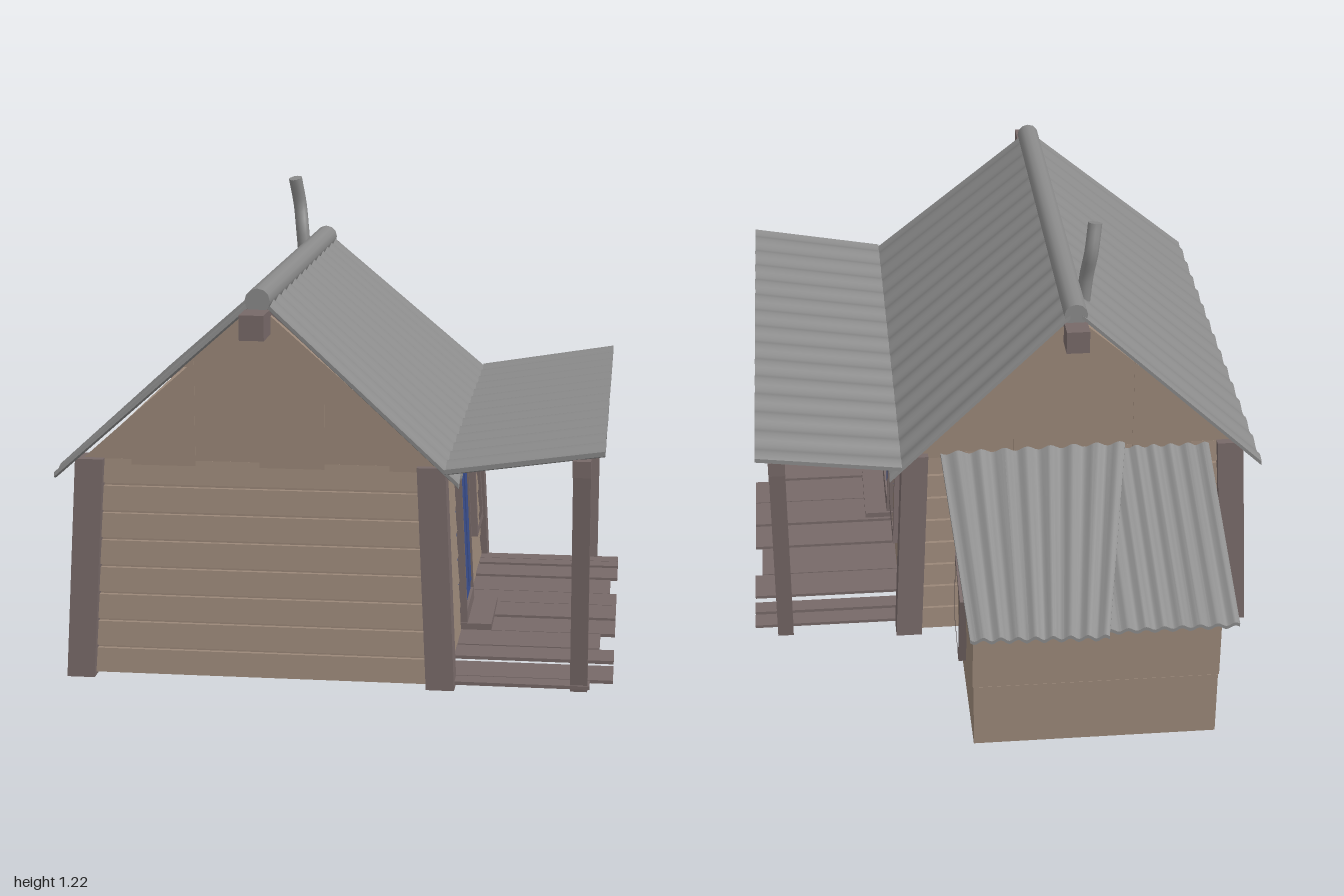
import * as THREE from 'three';
import { toCreasedNormals } from 'three/addons/utils/BufferGeometryUtils.js';

const mat = (color, side = THREE.FrontSide) => new THREE.MeshStandardMaterial({ color, side });
const WALL = mat(0x9a8778, THREE.DoubleSide), TIMBER = mat(0x776968), TIN = mat(0x8a8a8a, THREE.DoubleSide);
const BLUE = mat(0x3a4f8e), GLASS = mat(0xcccccc);

function add(parent, name, geometry, material) {
  const mesh = new THREE.Mesh(geometry, material);
  mesh.name = name;
  parent.add(mesh);
  return mesh;
}

// Box given by its minimum and maximum corners
function block(parent, name, [x0, y0, z0], [x1, y1, z1], material) {
  const g = new THREE.BoxGeometry(x1 - x0, y1 - y0, z1 - z0);
  g.translate((x0 + x1) / 2, (y0 + y1) / 2, (z0 + z1) / 2);
  return add(parent, name, g, material);
}

// Leaning square post, with level ends
function post(parent, name, [bx, bz], [tx, tz], h, sx, sz) {
  const g = new THREE.BoxGeometry(sx, h, sz).translate(0, h / 2, 0);
  const p = g.attributes.position;
  for (let i = 0; i < p.count; i++) {
    const t = p.getY(i) / h;
    p.setX(i, p.getX(i) + bx + (tx - bx) * t);
    p.setZ(i, p.getZ(i) + bz + (tz - bz) * t);
  }
  g.computeVertexNormals();
  return add(parent, name, g, TIMBER);
}

const shapeOf = pts => new THREE.Shape(pts.map(([x, y]) => new THREE.Vector2(x, y)));
const extrude = (shape, depth) => new THREE.ExtrudeGeometry(shape, { depth, bevelEnabled: false });
// Outline in (z, y), extruded towards +x
const sideways = (pts, depth, hole) => {
  const shape = shapeOf(pts.map(([z, y]) => [-z, y]));
  if (hole) shape.holes.push(shapeOf(hole.map(([z, y]) => [-z, y])));
  return extrude(shape, depth).rotateY(Math.PI / 2);
};

// Corrugated sheet: upper edge a-b, lower edge c-d, waves running from a to b
function sheet(parent, name, [a, b, c, d], waves, amp, thick = 0.012) {
  const [A, B, C, D] = [a, b, c, d].map(v => new THREE.Vector3(...v));
  const n = waves * 8, pos = [], idx = [];
  for (let i = 0; i <= n; i++) {
    const t = i / n, w = amp * Math.sin(t * waves * Math.PI * 2);
    const u = A.clone().lerp(B, t), l = C.clone().lerp(D, t);
    pos.push(u.x, u.y + w, u.z, l.x, l.y + w, l.z);
    pos.push(l.x, l.y + w - thick, l.z, u.x, u.y + w - thick, u.z);
    if (i === n) break;
    for (let k = 0; k < 4; k++) {
      const p = i * 4 + k, q = i * 4 + (k + 1) % 4;
      idx.push(p, q, p + 4, q, q + 4, p + 4);
    }
  }
  const e = n * 4;
  idx.push(0, 2, 1, 0, 3, 2, e, e + 1, e + 2, e, e + 2, e + 3);
  const g = new THREE.BufferGeometry();
  g.setAttribute('position', new THREE.Float32BufferAttribute(pos, 3));
  g.setIndex(idx);
  return add(parent, name, toCreasedNormals(g, 0.7), TIN);
}

// Crooked four-pane window facing +x; corners in (z, y)
function crookedWindow(parent, name, corners) {
  const g = new THREE.Group();
  g.name = name;
  const cz = corners.reduce((s, p) => s + p[0], 0) / 4, cy = corners.reduce((s, p) => s + p[1], 0) / 4;
  const inner = corners.map(([z, y]) => [cz + (z - cz) * 0.77, cy + (y - cy) * 0.85]);
  add(g, 'windowFrame', sideways(corners, 0.024, inner), TIMBER);
  add(g, 'windowGlass', sideways(inner, 0.008), GLASS);
  const mid = (i, j) => [(inner[i][0] + inner[j][0]) / 2, (inner[i][1] + inner[j][1]) / 2];
  for (const [p, q] of [[mid(0, 1), mid(2, 3)], [mid(1, 2), mid(3, 0)]]) {
    const dz = q[0] - p[0], dy = q[1] - p[1];
    const bar = add(g, 'windowBar', new THREE.BoxGeometry(0.016, Math.hypot(dz, dy), 0.012), TIMBER);
    bar.position.set(0.008, (p[1] + q[1]) / 2, (p[0] + q[0]) / 2);
    bar.rotation.x = Math.atan2(dz, dy);
  }
  parent.add(g);
  return g;
}

export function createModel() {
  const model = new THREE.Group();
  model.name = 'cabin';

  // House body, built around its own centre
  const house = new THREE.Group();
  house.name = 'house';
  house.position.set(-0.205, 0, 0.25);
  model.add(house);
  const HX = 0.515, HZ = 0.675, LEAN = 0.05, ROWS = 8, PITCH = 0.073;

  // Lapped board walls, leaning inwards
  for (let k = 0; k < 4; k++) {
    const half = k % 2 ? HZ : HX, length = 2 * ((k % 2 ? HX : HZ) - 0.06);
    const pts = [[half - 0.06, 0.01]];
    for (let i = 0; i < ROWS; i++) {
      const y0 = 0.01 + i * PITCH, y1 = y0 + PITCH;
      pts.push([half - 0.018 - LEAN * y0, y0], [half - 0.022 - LEAN * y1, y1 - 0.009]);
      pts.push([half - 0.034 - LEAN * y1, y1 - 0.009], [half - 0.034 - LEAN * y1, y1]);
    }
    pts.push([half - 0.09, 0.01 + ROWS * PITCH]);
    const g = extrude(shapeOf(pts), length).translate(0, 0, -length / 2);
    add(house, 'boardWall', g, WALL).rotation.y = -k * Math.PI / 2;
  }

  // Corner posts
  for (const sx of [-1, 1]) for (const sz of [-1, 1]) {
    post(house, 'cornerPost', [sx * (HX - 0.037), sz * (HZ - 0.037)],
      [sx * (HX - 0.066), sz * (HZ - 0.066)], 0.587, 0.074, 0.074);
  }

  // Gables of upright boards
  const W = 0.475, top = x => 1.0 - Math.abs(x) * 0.885;
  const cuts = [-W, -0.34, -0.17, 0, 0.17, 0.34, W];
  for (const sz of [-1, 1]) for (let i = 0; i < 6; i++) {
    const [a, b] = [cuts[i], cuts[i + 1]];
    const g = extrude(shapeOf([[a, 0.565], [b, 0.565], [b, top(b)], [a, top(a)]]), 0.02);
    add(house, 'gableBoard', g, WALL).position.z = sz * 0.613 - 0.01 + (i % 2) * 0.002 * sz;
  }

  // Main roof, ridge cap and ridge beam
  for (const s of [-1, 1]) {
    sheet(house, 'mainRoof', [[0, 1.027, -0.635], [0, 1.027, 0.632],
      [s * 0.525, 0.566, -0.72], [s * 0.525, 0.566, 0.715]], 14, 0.007);
  }
  add(house, 'ridgeCap', new THREE.CylinderGeometry(0.033, 0.033, 1.275, 12).rotateX(Math.PI / 2), TIN)
    .position.set(0, 1.012, 0);
  block(house, 'ridgeBeam', [-0.032, 0.925, -0.695], [0.032, 0.99, 0.73], TIMBER);

  // Bent stovepipe
  const pipe = new THREE.CatmullRomCurve3([[-0.245, 0.95, -0.215], [-0.254, 1.05, -0.22],
    [-0.264, 1.13, -0.237], [-0.275, 1.21, -0.218]].map(p => new THREE.Vector3(...p)));
  add(model, 'stovepipe', new THREE.TubeGeometry(pipe, 12, 0.02, 10), TIN);
  const lid = add(model, 'stovepipeTop', new THREE.CircleGeometry(0.02, 10), TIN);
  lid.position.copy(pipe.getPoint(1));
  lid.lookAt(lid.position.clone().add(pipe.getTangent(1)));

  // Door and window on the leaning porch wall
  const porchWall = new THREE.Group();
  porchWall.name = 'porchWallFittings';
  porchWall.position.x = 0.29;
  porchWall.rotation.z = LEAN;
  model.add(porchWall);
  add(porchWall, 'doorFrame', sideways([[0.443, 0.03], [0.197, 0.03], [0.197, 0.555], [0.443, 0.555]], 0.02,
    [[0.43, 0.07], [0.21, 0.07], [0.21, 0.54], [0.43, 0.54]]), TIMBER);
  block(porchWall, 'doorLeaf', [-0.02, 0.07, 0.21], [0.012, 0.54, 0.43], BLUE);
  for (const z of [0.234, 0.339]) block(porchWall, 'doorPanel', [0, 0.1, z], [0.017, 0.52, z + 0.068], BLUE);
  crookedWindow(porchWall, 'houseWindow', [[0.02, 0.505], [-0.15, 0.505], [-0.2, 0.174], [0.033, 0.174]]);
  block(model, 'doorStep', [0.28, 0.015, 0.19], [0.375, 0.036, 0.45], TIMBER);

  // Porch floor of uneven planks: z start, z end, outer x
  const planks = [[-0.36, -0.305, 0.72], [-0.295, -0.245, 0.72], [-0.215, -0.105, 0.72], [-0.095, 0.045, 0.7],
    [0.055, 0.17, 0.72], [0.18, 0.305, 0.72], [0.315, 0.44, 0.72], [0.45, 0.58, 0.68],
    [0.595, 0.69, 0.72], [0.72, 0.84, 0.72], [0.85, 0.9, 0.66]];
  planks.forEach(([z0, z1, x1], i) => {
    const y = 0.007 + (i % 3) * 0.002;
    block(model, 'porchPlank', [0.285, y, z0], [x1, y + 0.009, z1], TIMBER);
  });

  // Porch posts, beam and roof
  post(model, 'frontPorchPost', [0.632, 0.87], [0.632, 0.935], 0.62, 0.045, 0.045);
  post(model, 'backPorchPost', [0.632, -0.372], [0.632, -0.438], 0.62, 0.045, 0.045);
  block(model, 'porchBeam', [0.609, 0.598, -0.48], [0.655, 0.64, 1.0], TIMBER);
  sheet(model, 'porchRoof', [[0.285, 0.601, -0.47], [0.285, 0.601, 0.965],
    [0.69, 0.664, -0.49], [0.69, 0.664, 0.985]], 14, 0.007);

  // Lean-to walls: lower and upper slabs with a sloping seam
  const lower = [[-0.39, 0.005], [-0.95, 0.005], [-0.95, 0.193], [-0.39, 0.275]];
  const upper = [[-0.39, 0.278], [-0.95, 0.196], [-0.95, 0.365], [-0.39, 0.585]];
  for (const s of [-1, 1]) {
    const x = -0.205 + s * 0.325;
    add(model, 'leanToSideLower', sideways(lower, 0.014), WALL).position.x = x - 0.007;
    add(model, 'leanToSideUpper', sideways(upper, 0.014), WALL).position.x = x - 0.007 + s * 0.003;
  }
  block(model, 'leanToBackLower', [-0.536, 0.005, -0.95], [0.126, 0.193, -0.936], WALL);
  block(model, 'leanToBackUpper', [-0.539, 0.196, -0.953], [0.129, 0.365, -0.939], WALL);
  crookedWindow(model, 'leanToWindow', [[-0.583, 0.388], [-0.76, 0.34], [-0.684, 0.088], [-0.545, 0.136]])
    .position.x = 0.124;

  // Lean-to roof: a straight sheet with a skewed sheet lapped over it
  sheet(model, 'leanToRoofStraight', [[-0.59, 0.593, -0.4], [-0.2, 0.593, -0.4],
    [-0.585, 0.37, -0.968], [-0.2, 0.37, -0.968]], 8, 0.005, 0.01);
  sheet(model, 'leanToRoofSkewed', [[-0.35, 0.607, -0.4], [0.173, 0.6, -0.4],
    [-0.23, 0.375, -1.0], [0.138, 0.372, -0.98]], 8, 0.006, 0.01);

  return model;
}
